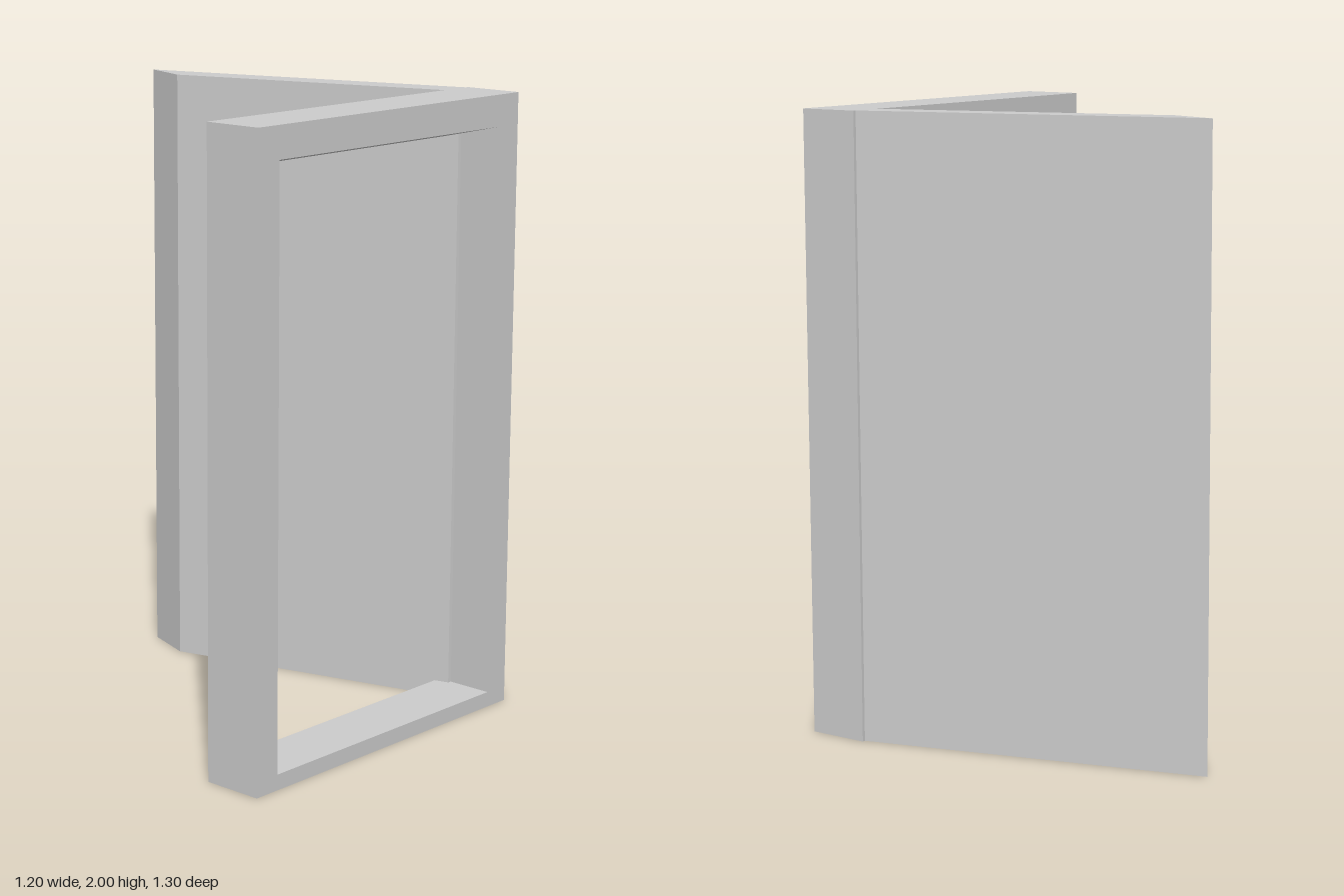
import * as THREE from 'three';

const material = new THREE.MeshStandardMaterial({ color: 0xcccccc, flatShading: true });

// Surround with a rectangular opening; the lintel's underside drops towards the back
function createFrame() {
  const depth = 0.2, backZ = 0.45, lintelFront = 1.9, lintelBack = 1.855;
  const outline = new THREE.Shape([[-0.6, 0], [0.6, 0], [0.6, 2], [-0.6, 2]].map(p => new THREE.Vector2(...p)));
  outline.holes.push(new THREE.Path(
    [[-0.51, 0.05], [-0.51, lintelFront], [0.51, lintelFront], [0.51, 0.05]].map(p => new THREE.Vector2(...p))));
  const geometry = new THREE.ExtrudeGeometry(outline, { depth, bevelEnabled: false });

  const pos = geometry.attributes.position;
  for (let i = 0; i < pos.count; i++) {
    if (pos.getZ(i) < 0.01 && Math.abs(pos.getY(i) - lintelFront) < 0.001) pos.setY(i, lintelBack);
  }
  geometry.translate(0, 0, backZ);
  geometry.computeVertexNormals();

  const frame = new THREE.Mesh(geometry, material);
  frame.name = 'doorFrame';
  return frame;
}

// Open door leaf: a slanted plan (x, z) raised to full height, its hinge end set into the frame
function createDoor() {
  const plan = [[0.233, -0.48], [0.293, -0.65], [0.595, 0.47], [0.58, 0.5], [0.497, 0.497]];
  const shape = new THREE.Shape(plan.map(([x, z]) => new THREE.Vector2(x, -z)));
  const geometry = new THREE.ExtrudeGeometry(shape, { depth: 2, bevelEnabled: false });
  geometry.rotateX(-Math.PI / 2);

  const door = new THREE.Mesh(geometry, material);
  door.name = 'doorLeaf';
  return door;
}

export function createModel() {
  const model = new THREE.Group();
  model.name = 'openDoor';
  model.add(createFrame(), createDoor());
  return model;
}
